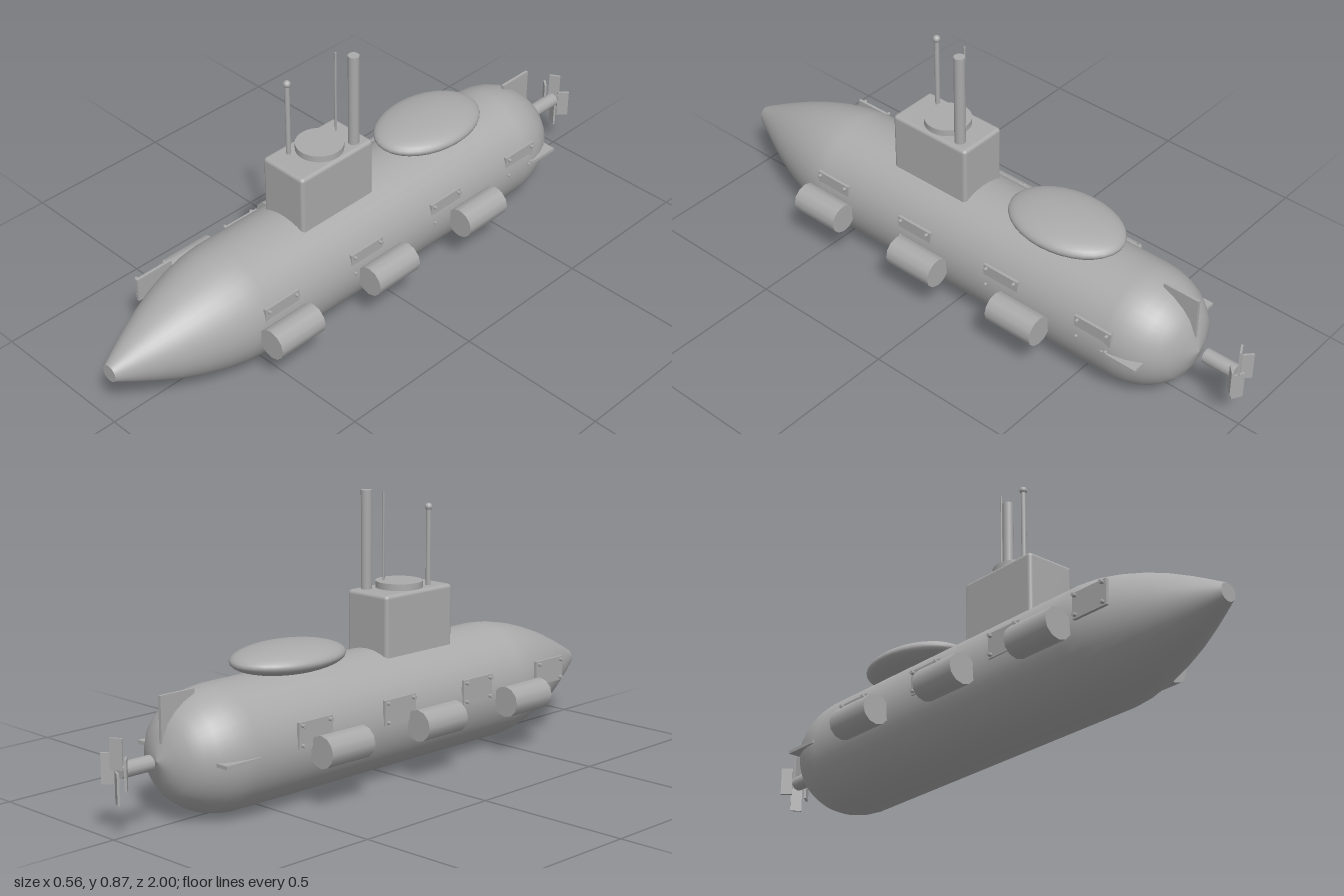
import * as THREE from 'three';
import { RoundedBoxGeometry } from 'three/addons/geometries/RoundedBoxGeometry.js';

export function createModel() {
  const model = new THREE.Group();
  const grey = new THREE.MeshStandardMaterial({ color: 0xaaaaaa });
  grey.name = 'hull grey';
  const axisY = 0.192; // height of the hull's long axis

  function add(name, geometry, x, y, z, parent = model) {
    const mesh = new THREE.Mesh(geometry, grey);
    mesh.name = name;
    mesh.position.set(x, y, z);
    parent.add(mesh);
    return mesh;
  }
  const box = (w, h, d) => new THREE.BoxGeometry(w, h, d);
  const rod = (r, length, sides = 12) => new THREE.CylinderGeometry(r, r, length, sides);
  const rodZ = (r, length, sides) => rod(r, length, sides).rotateX(Math.PI / 2);
  const rodX = (r, length, sides) => rod(r, length, sides).rotateZ(Math.PI / 2);

  // Hull: one turned profile from stern to nose, [radius, z]
  const profile = [
    [0, -0.84], [0.06, -0.822], [0.105, -0.802], [0.135, -0.775], [0.16, -0.74],
    [0.178, -0.7], [0.188, -0.66], [0.192, -0.62], [0.192, 0.54], [0.186, 0.6],
    [0.171, 0.67], [0.148, 0.745], [0.119, 0.82], [0.086, 0.89], [0.055, 0.95], [0.028, 1],
  ].map(([r, z]) => new THREE.Vector2(r, z));
  add('hull', new THREE.LatheGeometry(profile, 40).rotateX(Math.PI / 2), 0, axisY, 0);
  add('noseCap', new THREE.CircleGeometry(0.028, 24), 0, axisY, 1);

  // Conning tower with hatch, masts and aerial
  add('tower', new RoundedBoxGeometry(0.172, 0.25, 0.3, 3, 0.012), 0, 0.435, 0.155);
  add('hatch', rod(0.075, 0.03, 32), 0, 0.566, 0.15);
  add('thinMast', rod(0.008, 0.26), -0.046, 0.68, 0.235);
  add('mastBall', new THREE.SphereGeometry(0.012, 16, 12), -0.046, 0.81, 0.235);
  add('periscope', rod(0.018, 0.32, 12), 0.051, 0.712, 0.055);
  add('aerial', rod(0.0035, 0.28, 8), 0, 0.73, 0.08);

  // Flattened dome behind the tower
  add('dome', new THREE.SphereGeometry(1, 32, 20).scale(0.14, 0.045, 0.202), 0, 0.415, -0.33);

  for (const side of [-1, 1]) {
    // Side pods
    for (const z of [0.49, 0.08, -0.33]) add('sidePod', rodZ(0.05, 0.175, 12), side * 0.23, 0.18, z);

    // Bolted panels, staggered between the two sides
    const panelX = side > 0 ? 0.182 : -0.192;
    const firstZ = side > 0 ? 0.488 : 0.666;
    for (let i = 0; i < 4; i++) {
      const panel = new THREE.Group();
      panel.name = 'boltedPanel';
      panel.position.set(panelX, 0.232, firstZ - i * 0.3567);
      add('panelPlate', box(0.01, 0.08, 0.135), 0, 0, 0, panel);
      for (const dz of [-0.055, 0.055]) {
        for (const dy of [-0.03, 0.03]) add('bolt', rodX(0.006, 0.016, 8), side * 0.009, dy, dz, panel);
      }
      model.add(panel);
    }

    // Stern planes
    add('sternPlane', box(0.1, 0.011, 0.13), side * 0.147, 0.195, -0.685);
  }
  add('rudder', box(0.01, 0.14, 0.125), 0, 0.313, -0.7625);

  // Propeller: shaft and four upright angled blades
  add('propellerShaft', rodZ(0.024, 0.11, 12), 0, 0.195, -0.92);
  for (const [x, y, turn] of [[0, 0.245, 0.5], [0, 0.145, -0.5], [0.041, 0.195, 0.75], [-0.041, 0.195, -0.75]]) {
    add('propellerBlade', box(0.038, 0.092, 0.007), x, y, -0.982).rotation.y = turn;
  }
  return model;
}
